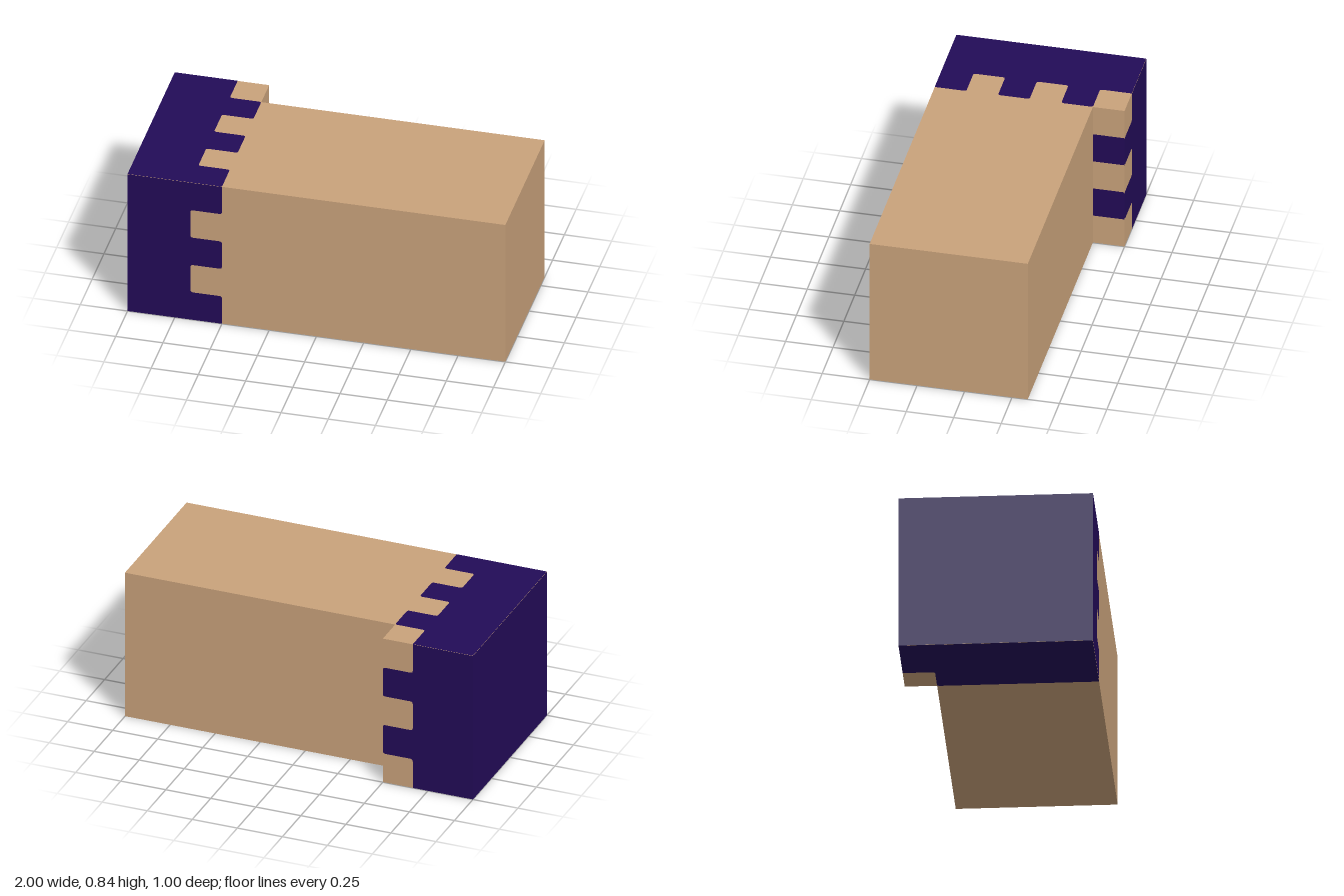
import * as THREE from 'three';

const CELL = 1 / 6;         // size of one joint finger
const H = 5 * CELL;         // block height
const SKIN = 0.001;         // lift of the painted faces
const OUT = -0.5, IN = -0.5 - CELL; // long and short reach of the dark fingers

// Dark comb: straight edge at x = -1, one finger reach per row, softly rounded corners.
function comb(rows, v0, sign = 1) {
  const r = 0.014;
  const s = new THREE.Shape();
  s.moveTo(-sign, v0);
  s.lineTo(sign * rows[0], v0);
  for (let i = 1; i < rows.length; i++) {
    const a = rows[i - 1], b = rows[i], v = v0 + i * CELL;
    if (a === b) continue;
    const d = Math.sign(b - a) * r;
    s.lineTo(sign * a, v - r);
    s.quadraticCurveTo(sign * a, v, sign * (a + d), v);
    s.lineTo(sign * (b - d), v);
    s.quadraticCurveTo(sign * b, v, sign * b, v + r);
  }
  const end = v0 + rows.length * CELL;
  s.lineTo(sign * rows[rows.length - 1], end);
  s.lineTo(-sign, end);
  s.closePath();
  return new THREE.ShapeGeometry(s, 4);
}

export function createModel() {
  const group = new THREE.Group();
  const wood = new THREE.MeshStandardMaterial({ color: 0xc9a27b });
  wood.name = 'light wood';
  const dark = new THREE.MeshStandardMaterial({ color: 0x220b57 });
  dark.name = 'dark purple';

  const add = (name, geometry, material) => {
    const mesh = new THREE.Mesh(geometry, material);
    mesh.name = name;
    group.add(mesh);
  };

  // Wooden block with a stepped back, drawn in plan (x, -z) and raised
  const plan = new THREE.Shape([
    [-1, -0.5], [1, -0.5], [1, 2 * CELL], [OUT, 2 * CELL], [OUT, 0.5], [-1, 0.5],
  ].map(([x, y]) => new THREE.Vector2(x, y)));
  const block = new THREE.ExtrudeGeometry(plan, { depth: H, bevelEnabled: false });
  add('block', block.rotateX(-Math.PI / 2), wood);

  // Dark faces wrapping the end of the block
  add('frontFingers', comb([OUT, IN, OUT, IN, OUT], 0).translate(0, 0, 0.5 + SKIN), dark);
  add('backFingers', comb([IN, OUT, IN, OUT, IN], 0, -1)
    .rotateY(Math.PI).translate(0, 0, -0.5 - SKIN), dark);
  add('topFingers', comb([OUT, IN, OUT, IN, OUT, IN], -0.5)
    .rotateX(-Math.PI / 2).translate(0, H + SKIN, 0), dark);
  add('bottomFingers', comb([IN, OUT, OUT, OUT, OUT, OUT], -0.5)
    .rotateX(Math.PI / 2).translate(0, -SKIN, 0), dark);
  add('endFace', new THREE.PlaneGeometry(1, H)
    .rotateY(-Math.PI / 2).translate(-1 - SKIN, H / 2, 0), dark);

  // Dark finger ends on the small step
  for (const row of [1, 3]) {
    add('fingerEnd', new THREE.PlaneGeometry(CELL, CELL)
      .rotateY(Math.PI / 2)
      .translate(OUT + SKIN, (row + 0.5) * CELL, -0.5 + CELL / 2), dark);
  }
  return group;
}
